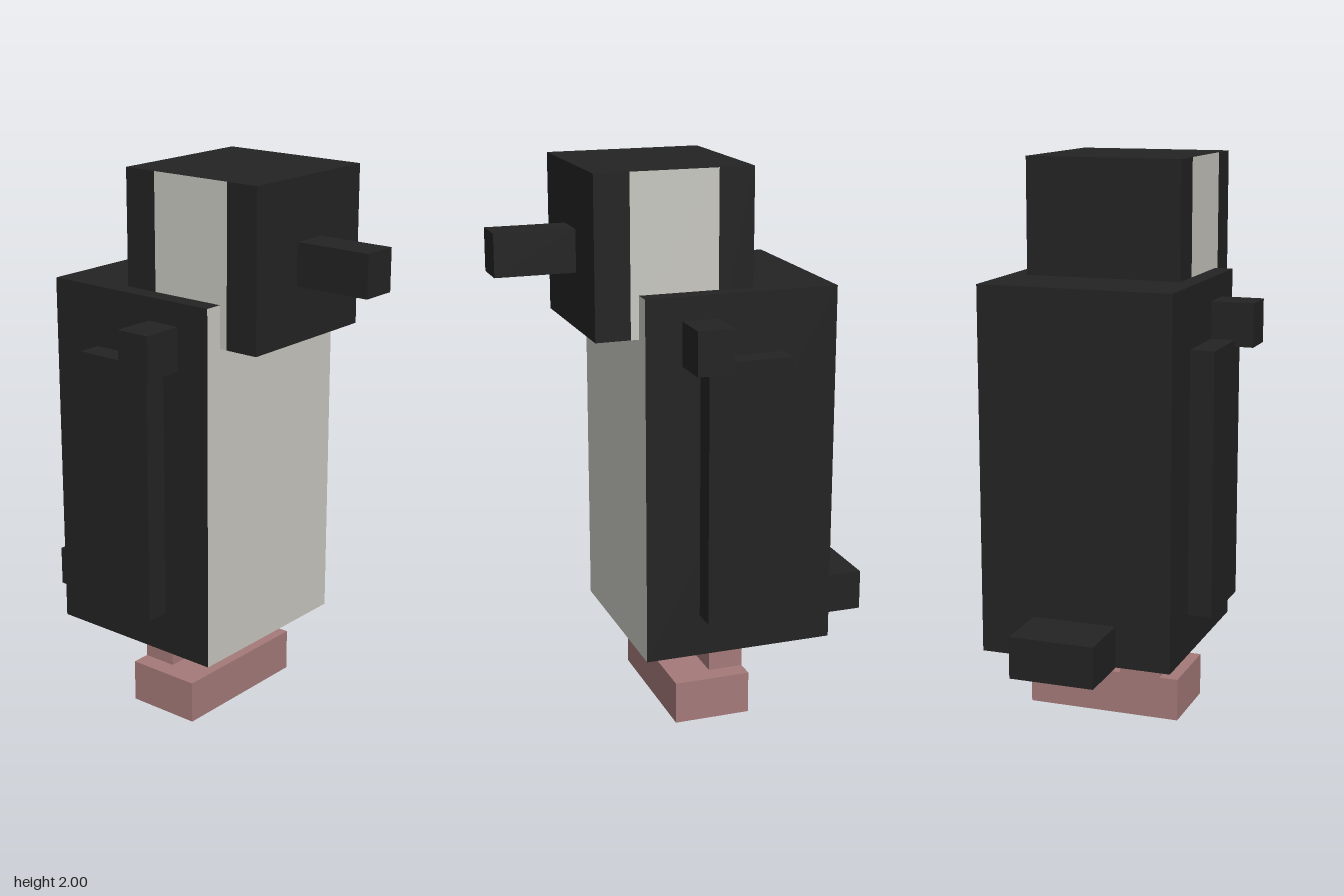
import * as THREE from 'three';

export function createModel() {
  const model = new THREE.Group();
  model.name = 'penguin';
  const material = (name, color) => {
    const m = new THREE.MeshStandardMaterial({ color });
    m.name = name;
    return m;
  };
  const black = material('black plumage', 0x232323);
  const white = material('off-white plumage', 0xc9c8c1);
  const pink = material('pink skin', 0xa67a7a);

  // Box given by its limits on each axis
  function box(name, mat, [x0, x1], [y0, y1], [z0, z1]) {
    const mesh = new THREE.Mesh(new THREE.BoxGeometry(x1 - x0, y1 - y0, z1 - z0), mat);
    mesh.position.set((x0 + x1) / 2, (y0 + y1) / 2, (z0 + z1) / 2);
    mesh.name = name;
    model.add(mesh);
  }

  // Body: white belly (+z) and underside (-y)
  box('body', [black, black, black, white, white, black], [-0.347, 0.347], [0.287, 1.588], [-0.456, 0.238]);

  // Head in three slices, the middle one with white cheeks (+x, -x)
  const headX = [-0.282, 0.282], headY = [1.438, 2];
  box('headBack', black, headX, headY, [-0.172, -0.046]);
  box('headCheeks', [white, white, black, black, black, black], headX, headY, [-0.046, 0.267]);
  box('headFront', black, headX, headY, [0.267, 0.391]);
  box('beak', black, [-0.066, 0.066], [1.635, 1.785], [0.391, 0.675]);

  // Tail
  box('tail', black, [-0.151, 0.151], [0.287, 0.435], [-0.675, -0.456]);

  // Paired parts
  for (const [side, s] of [['left', 1], ['right', -1]]) {
    const span = (a, b) => (s > 0 ? [a, b] : [-b, -a]);
    box(side + 'Shoulder', black, span(0.347, 0.5), [1.35, 1.505], [-0.021, 0.108]);
    box(side + 'Wing', black, span(0.347, 0.433), [0.438, 1.373], [-0.261, 0.042]);
    box(side + 'Leg', pink, span(0.065, 0.215), [0.155, 0.287], [-0.172, -0.044]);
  }

  // Feet joined in one slab
  box('feet', pink, [-0.283, 0.283], [0, 0.155], [-0.172, 0.108]);

  return model;
}
